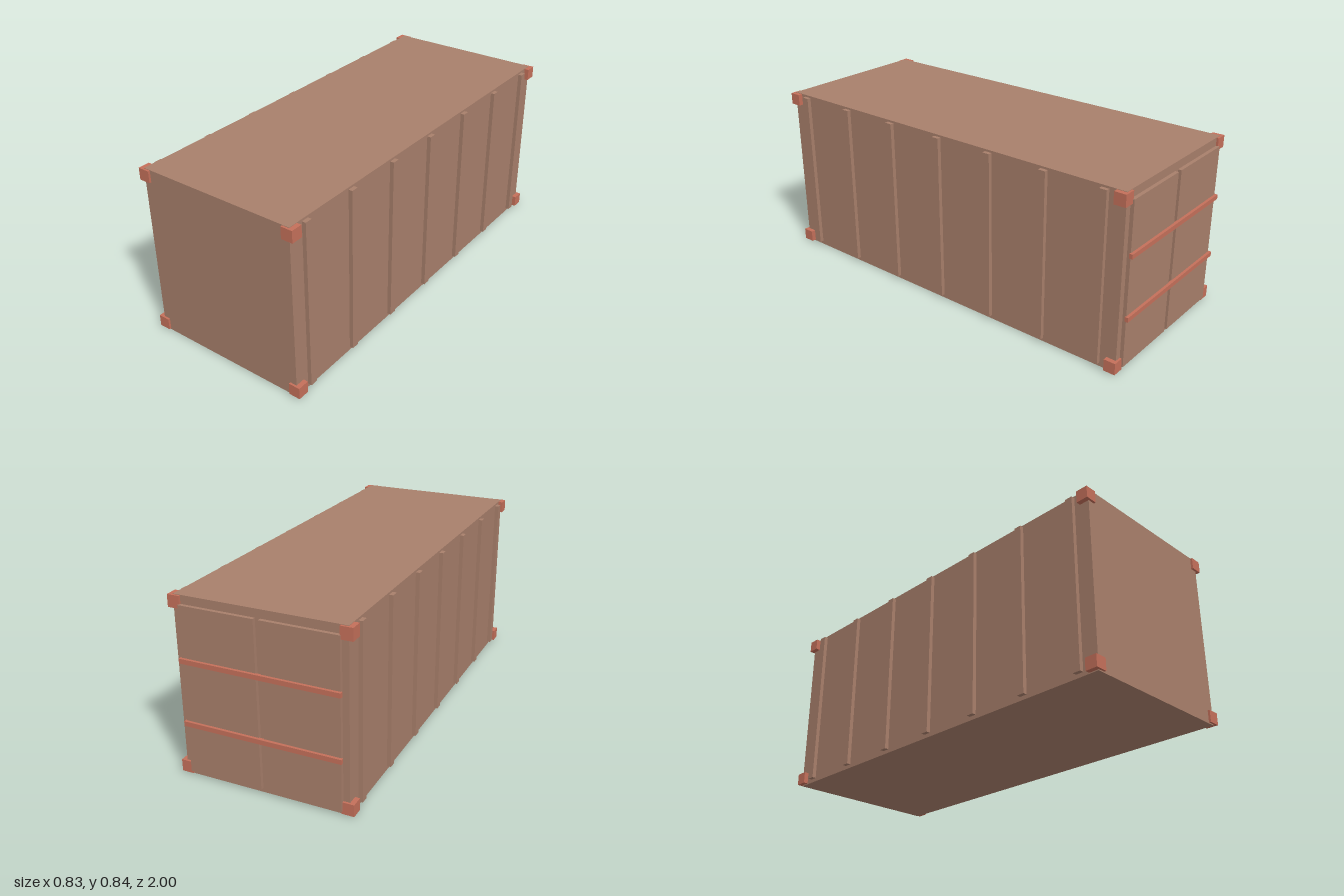
import * as THREE from 'three';

const paint = new THREE.MeshStandardMaterial({ color: 0xa87f6b });
const rust = new THREE.MeshStandardMaterial({ color: 0xc4705a });

// Box given by its minimum and maximum on each axis
function box(name, material, [x0, x1], [y0, y1], [z0, z1]) {
  const mesh = new THREE.Mesh(new THREE.BoxGeometry(x1 - x0, y1 - y0, z1 - z0), material);
  mesh.position.set((x0 + x1) / 2, (y0 + y1) / 2, (z0 + z1) / 2);
  mesh.name = name;
  return mesh;
}

export function createModel() {
  const model = new THREE.Group();
  model.name = 'shippingContainer';

  // Main box
  model.add(box('body', paint, [-0.393, 0.393], [0, 0.836], [-0.97, 0.99]));

  // Corner castings, standing slightly proud of the body
  const corners = new THREE.Group();
  corners.name = 'cornerCastings';
  for (const x of [-0.387, 0.387])
    for (const y of [0.033, 0.806])
      for (const z of [-0.952, 0.972])
        corners.add(box('cornerCasting', rust,
          [x - 0.028, x + 0.028], [y - 0.028, y + 0.028], [z - 0.028, z + 0.028]));
  model.add(corners);

  // Seven vertical ribs along each side wall
  const ribs = new THREE.Group();
  ribs.name = 'sideRibs';
  for (const side of [-1, 1])
    for (let i = -3; i <= 3; i++) {
      const z = 0.013 + i * 0.295;
      const x = side * 0.4;
      ribs.add(box('sideRib', paint, [x - 0.012, x + 0.012], [0.018, 0.826], [z - 0.018, z + 0.018]));
    }
  model.add(ribs);

  // Pair of rear doors with a gap between them
  model.add(box('rightDoor', paint, [-0.363, -0.012], [0.02, 0.797], [-0.987, -0.965]));
  model.add(box('leftDoor', paint, [0.012, 0.363], [0.02, 0.797], [-0.987, -0.965]));

  // Horizontal locking bars across the doors
  for (const y of [0.26, 0.553])
    model.add(box('lockingBar', rust, [-0.37, 0.37], [y - 0.011, y + 0.011], [-1, -0.984]));

  return model;
}
